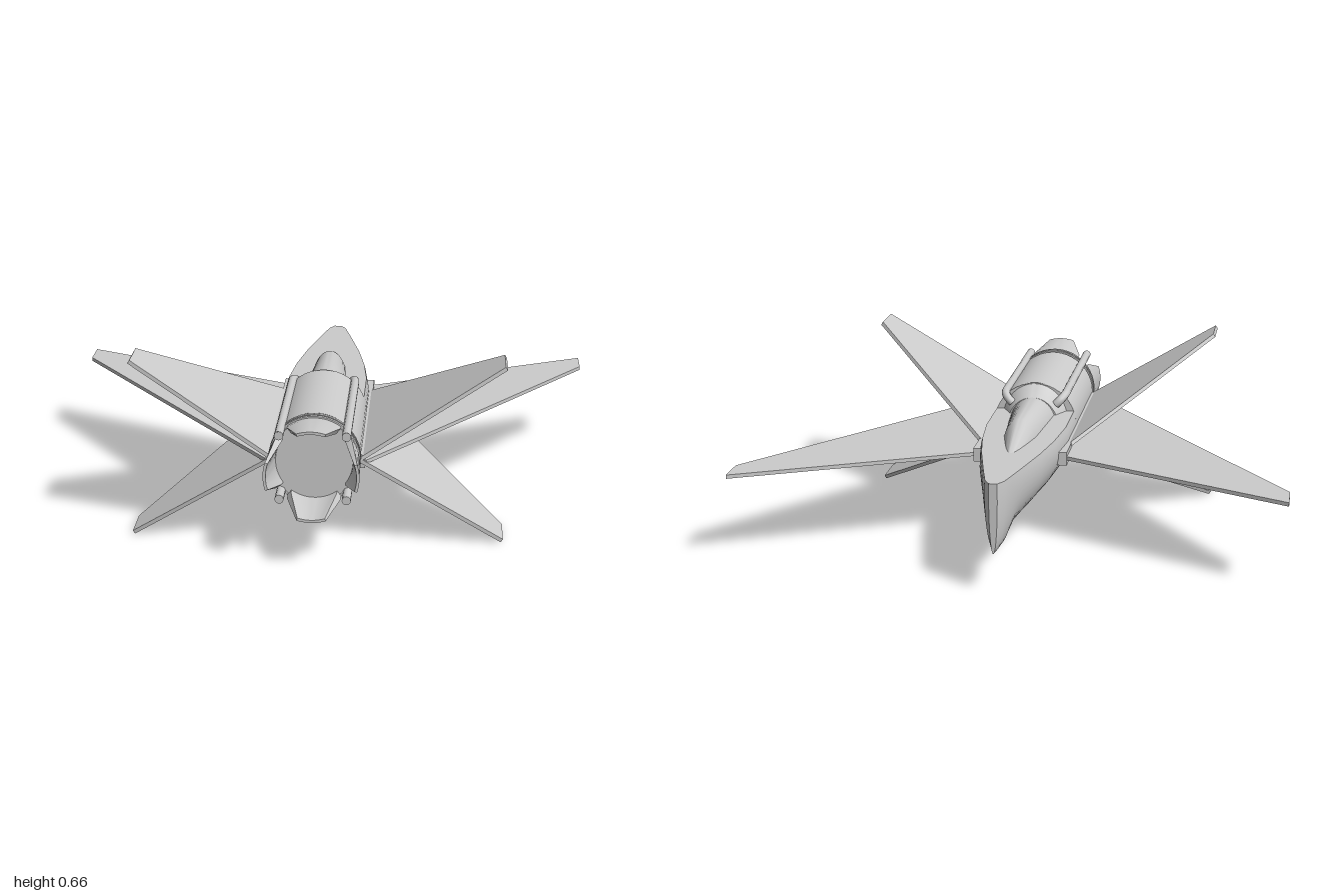
import * as THREE from 'three';
import { toCreasedNormals } from 'three/addons/utils/BufferGeometryUtils.js';

const material = new THREE.MeshStandardMaterial({ color: 0xcccccc });
const AXIS_Y = 0.35, R = 0.16;

function addMesh(parent, name, geometry) {
  const mesh = new THREE.Mesh(geometry, material);
  mesh.name = name;
  parent.add(mesh);
  return mesh;
}

// Skin loops (counter-clockwise seen from +z, ordered by rising z) and cap both ends.
function loft(loops, crease = 0.6) {
  const n = loops[0].length, index = [];
  loops.slice(1).forEach((_, i) => {
    for (let j = 0; j < n; j++) {
      const k = (j + 1) % n, a = i * n, b = a + n;
      index.push(a + j, a + k, b + k, a + j, b + k, b + j);
    }
  });
  const end = (loops.length - 1) * n;
  for (let j = 0; j < n / 2 - 1; j++) {
    const q = [j, j + 1, n - 2 - j, n - 1 - j];
    index.push(q[0], q[2], q[1], q[0], q[3], q[2]);
    index.push(end + q[0], end + q[1], end + q[2], end + q[0], end + q[2], end + q[3]);
  }
  const geometry = new THREE.BufferGeometry();
  geometry.setAttribute('position', new THREE.Float32BufferAttribute(loops.flat(2), 3));
  geometry.setIndex(index);
  return toCreasedNormals(geometry, crease);
}

// Round section cut flat at the deck; the keel can hang lower than the circle.
function hullLoop([z, w, keel]) {
  const loop = [], start = Math.asin(0.055 / R), sweep = Math.PI + 2 * start;
  for (let i = 0; i < 32; i++) {
    const a = start - sweep * (1 - i / 31);
    const s = Math.sin(a);
    loop.push([w * Math.cos(a), AXIS_Y + s * (s < 0 ? AXIS_Y - keel : R), z]);
  }
  return loop;
}

// Half-ellipse section standing on the deck.
function domeLoop([z, w, top]) {
  const base = 0.36;
  return Array.from({ length: 24 }, (_, i) => {
    const a = Math.PI * i / 23;
    return [w * Math.cos(a), base + (top - base) * Math.sin(a), z];
  });
}

// Curved strip section between two radii, centred on the top.
function petalLoop([z, half, inner, outer]) {
  const loop = [], n = 12;
  for (let i = 0; i < n * 2; i++) {
    const t = i < n ? i / (n - 1) : (2 * n - 1 - i) / (n - 1);
    const a = Math.PI / 2 + half * (2 * t - 1), r = i < n ? outer : inner;
    loop.push([r * Math.cos(a), r * Math.sin(a), z]);
  }
  return loop;
}

// Flat plate outlined in (span, z).
function plate(points, thickness) {
  const shape = new THREE.Shape(points.map(p => new THREE.Vector2(...p)));
  return new THREE.ExtrudeGeometry(shape, { depth: thickness, bevelEnabled: false })
    .rotateX(Math.PI / 2).translate(0, thickness / 2, 0);
}

function cylinderZ(r, z0, z1) {
  return new THREE.CylinderGeometry(r, r, z1 - z0, 40)
    .rotateX(Math.PI / 2).translate(0, AXIS_Y, (z0 + z1) / 2);
}

export function createModel() {
  const model = new THREE.Group();
  model.name = 'starfighter';

  // Fuselage: blade nose with a chin, widening to the engine drum
  addMesh(model, 'forwardFuselage', loft([
    [-0.835, 0.015, 0.15], [-0.8, 0.036, 0.15], [-0.735, 0.052, 0.15],
    [-0.66, 0.07, 0.19], [-0.47, 0.113, 0.19], [-0.3, 0.142, 0.19],
    [-0.12, R, 0.19], [0.12, R, 0.19],
  ].map(hullLoop)));
  addMesh(model, 'canopy', loft([
    [-0.48, 0.025, 0.402], [-0.26, 0.065, 0.47], [0.06, 0.092, 0.47],
  ].map(domeLoop)));
  addMesh(model, 'collar', loft([
    [0.045, 0.098, 0.47], [0.07, 0.11, 0.48], [0.115, 0.13, 0.512],
  ].map(domeLoop)));
  addMesh(model, 'engineDrum', cylinderZ(R, 0.11, 0.61));
  addMesh(model, 'engineEnd', cylinderZ(0.152, 0.6, 0.665));
  for (const z of [0.627, 0.65]) addMesh(model, 'engineRing', cylinderZ(0.163, z - 0.007, z + 0.007));

  // Four exhaust petals
  for (let i = 0; i < 4; i++) {
    const petal = addMesh(model, 'exhaustPetal', loft([
      [0.655, 0.64, 0.135, 0.157], [0.69, 0.62, 0.137, 0.162], [0.83, 0.31, 0.156, 0.166],
    ].map(petalLoop)));
    petal.position.y = AXIS_Y;
    petal.rotation.z = i * Math.PI / 2;
  }

  // Wings and rods on both sides
  const mainOutline = [[0, -0.18], [0.84, -0.668], [0.84, -0.55], [0.32, 0.18], [0.02, 0.6], [0, 0.6]];
  mainOutline[0] = [0, -0.255];
  mainOutline.splice(1, 0, [0.02, -0.26]);
  const finOutline = [[0, -0.15], [0.6, 0.385], [0.6, 0.532], [0, 0.605]];
  for (const side of [1, -1]) {
    const addWing = (name, outline, angle, y) => {
      const wing = addMesh(model, name, plate(outline, 0.014));
      wing.position.set(side * R, y, 0);
      wing.rotation.z = side > 0 ? angle : Math.PI - angle;
    };
    addWing('mainWing', mainOutline, 0, 0.327);
    addWing('upperWing', finOutline, 0.565, 0.338);
    addWing('lowerWing', finOutline, -0.565, 0.332);

    // Thick root fairing
    const root = addMesh(model, 'wingRoot', new THREE.BoxGeometry(0.04, 0.05, 0.86));
    root.position.set(side * 0.155, 0.327, 0.165);

    // Long rods beside the drum, bent in at the front
    for (const v of [1, -1]) {
      const at = (x, y, z) => new THREE.Vector3(side * x, AXIS_Y + 0.004 + v * y, z);
      const path = new THREE.CurvePath();
      path.add(new THREE.QuadraticBezierCurve3(at(0.085, 0.085, 0.075), at(0.117, 0.117, 0.075), at(0.117, 0.117, 0.13)));
      path.add(new THREE.LineCurve3(at(0.117, 0.117, 0.13), at(0.117, 0.117, 0.75)));
      addMesh(model, 'sideRod', new THREE.TubeGeometry(path, 48, 0.016, 12));
      const cap = addMesh(model, 'rodEnd', new THREE.CircleGeometry(0.016, 12));
      cap.position.copy(at(0.117, 0.117, 0.75));
    }
  }
  return model;
}
